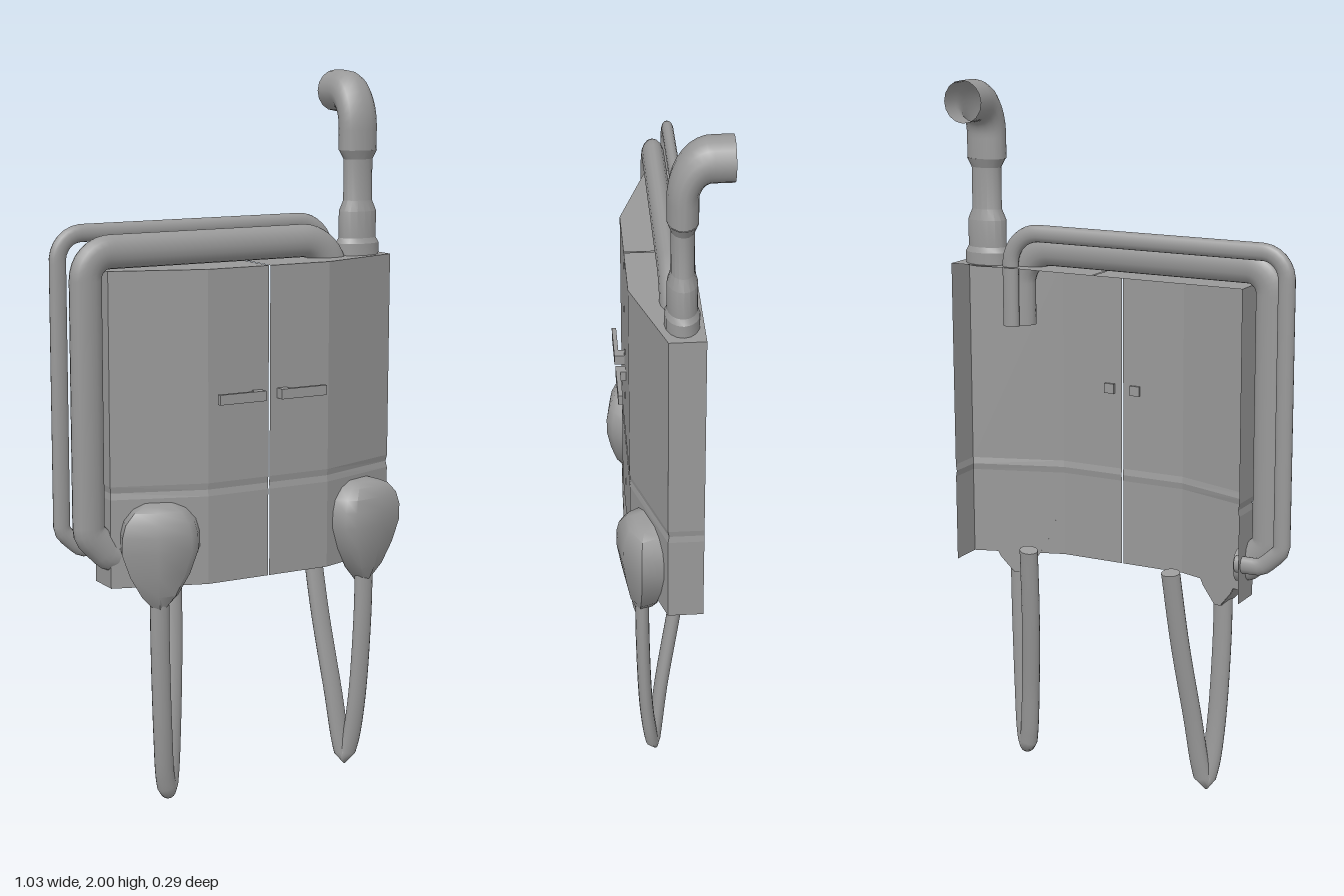
import * as THREE from 'three';
import { toCreasedNormals } from 'three/addons/utils/BufferGeometryUtils.js';

const MID = 0.065;  // x of the seam between the two doors
const FLAT = 0.68;  // pipes are flattened in depth
const smooth = new THREE.MeshStandardMaterial({ color: 0x999999, side: THREE.DoubleSide });
const faceted = new THREE.MeshStandardMaterial({ color: 0x999999, side: THREE.DoubleSide, flatShading: true });

function add(parent, name, geometry, material = smooth) {
  const mesh = new THREE.Mesh(geometry, material);
  mesh.name = name;
  parent.add(mesh);
  return mesh;
}

// Skin over rows of points, every row having the same count
function loft(rows) {
  const n = rows[0].length, index = [];
  for (let r = 0; r < rows.length - 1; r++) {
    for (let i = 0; i < n - 1; i++) {
      const a = r * n + i, b = a + 1, c = a + n, d = c + 1;
      index.push(a, b, c, b, d, c);
    }
  }
  const geometry = new THREE.BufferGeometry();
  geometry.setAttribute('position', new THREE.Float32BufferAttribute(rows.flat(2), 3));
  geometry.setIndex(index);
  geometry.computeVertexNormals();
  return geometry;
}

// Polyline with rounded corners
function roundedPath(points, radii) {
  const p = points.map(([x, y, z]) => new THREE.Vector3(x, y, z / FLAT));
  const path = new THREE.CurvePath();
  let from = p[0];
  for (let i = 1; i < p.length - 1; i++) {
    const step = (to) => p[i].clone().add(to.clone().sub(p[i]).setLength(radii[i - 1]));
    const start = step(p[i - 1]), end = step(p[i + 1]);
    path.add(new THREE.LineCurve3(from, start));
    path.add(new THREE.CubicBezierCurve3(start, start.clone().lerp(p[i], 0.55), end.clone().lerp(p[i], 0.55), end));
    from = end;
  }
  path.add(new THREE.LineCurve3(from, p[p.length - 1]));
  return path;
}

// Flattened tube with optional end caps
function pipe(parent, name, path, radius, segments, capped = true) {
  const group = new THREE.Group();
  group.name = name;
  group.scale.z = FLAT;
  add(group, name + 'Tube', new THREE.TubeGeometry(path, segments, radius, 16, false));
  if (capped) {
    for (const [t, sign] of [[0, -1], [1, 1]]) {
      const cap = add(group, name + 'Cap', new THREE.CircleGeometry(radius, 16));
      const at = path.getPointAt(t);
      cap.position.copy(at);
      cap.lookAt(at.clone().addScaledVector(path.getTangentAt(t), sign));
    }
  }
  parent.add(group);
}

// One half of the open-backed casing, side s = 1 or -1
function casingHalf(s) {
  const half = new THREE.Group();
  half.name = s > 0 ? 'leftCasing' : 'rightCasing';
  const section = [[0.002, 0.1], [0.19, 0.1], [0.445, 0.015], [0.445, -0.08]];
  // Rows of height and inset: a faint groove runs across the doors
  const rows = [[0.622, 0], [0.868, 0], [0.886, 0.003], [0.904, 0], [1.487, 0]];
  const skin = rows.map(([y, inset]) => section.map(([x, z], i) => [
    MID + s * (i > 1 ? x - inset : x), y, i < 3 ? z - inset : z]));
  if (s < 0) skin.forEach((row) => row.reverse());
  add(half, 'doorAndSide', loft(skin), faceted);

  const top = new THREE.Shape([...section, [0.002, -0.08]].map(([x, z]) => new THREE.Vector2(MID + s * x, -z)));
  const lid = add(half, 'topPlate', new THREE.ShapeGeometry(top).rotateX(-Math.PI / 2), faceted);
  lid.position.y = 1.487;

  // Handle: long bar on a short post that passes through the door
  const bar = add(half, 'handleBar', new THREE.BoxGeometry(0.143, 0.028, 0.012));
  bar.position.set(MID + s * 0.0965, 1.135, 0.121);
  const post = add(half, 'handlePost', new THREE.BoxGeometry(0.03, 0.028, 0.03));
  post.position.set(MID + s * 0.04, 1.135, 0.108);
  return half;
}

// Angular teardrop pod seated on the sloping panel, side s = 1 or -1
function pod(s) {
  const seat = new THREE.Group();
  seat.name = 'pod';
  const section = [[-0.115, 0], [-0.104, 0.04], [-0.083, 0.063], [0.012, 0.08], [0.108, 0.065], [0.104, 0]];
  // Height, width factor and depth factor of each ring
  const rings = [[0.56, 0.1, 0], [0.562, 0.12, 0.5], [0.605, 0.48, 0.72], [0.665, 0.79, 0.88], [0.73, 1, 1],
    [0.775, 0.99, 1], [0.81, 0.9, 0.92], [0.84, 0.66, 0.75], [0.852, 0.42, 0.5], [0.856, 0.34, 0]];
  const front = rings.map(([y, w, d]) => {
    const row = section.map(([x, z]) => [s * x * w, y, z * d]);
    return s < 0 ? row.reverse() : row;
  });
  const back = front.map((row) => [row[row.length - 1], row[0]].map(([x, y]) => [x, y, -0.002]));
  add(seat, 'podShell', toCreasedNormals(loft(front), 0.75));
  add(seat, 'podBack', loft(back));
  seat.position.set(MID + s * 0.322, 0, 0.056);
  seat.rotation.y = s * 0.32;
  return seat;
}

function podAndLeg(s) {
  const side = new THREE.Group();
  side.name = s > 0 ? 'leftLegUnit' : 'rightLegUnit';
  side.add(pod(s));

  // Leg loops from the pod to the floor and back up inside the casing
  const points = [[0.33, 0.62, 0.077], [0.328, 0.45, 0.076], [0.317, 0.2, 0.067], [0.304, 0.07, 0.054],
    [0.292, 0.03, 0.046], [0.282, 0.07, 0.039], [0.265, 0.22, 0.021], [0.241, 0.45, -0.015],
    [0.226, 0.67, -0.048]].map(([x, y, z]) => new THREE.Vector3(MID + s * x, y, z / FLAT));
  pipe(side, 'leg', new THREE.CatmullRomCurve3(points), 0.028, 80);
  return side;
}

export function createModel() {
  const model = new THREE.Group();
  model.name = 'casingWithPipes';

  for (const s of [1, -1]) model.add(casingHalf(s), podAndLeg(s));

  // Two pipes wrapping the side and top of the casing
  const z1 = -0.007, z2 = -0.052;
  pipe(model, 'thickPipe', roundedPath([[0.33, 1.32, z1], [0.33, 1.536, z1], [-0.435, 1.536, z1],
    [-0.435, 0.775, z1], [-0.37, 0.71, z1], [-0.345, 0.71, z1]], [0.1, 0.07, 0.015, 0.015]), 0.046, 120);
  pipe(model, 'thinPipe', roundedPath([[0.335, 1.32, z2], [0.335, 1.585, z2], [-0.494, 1.585, z2],
    [-0.494, 0.78, z2], [-0.435, 0.727, z2], [-0.36, 0.727, z2]], [0.09, 0.07, 0.015, 0.015]), 0.024, 120);

  // Exhaust stack: stepped lower part, then an open elbow facing back
  const profile = [[0.066, 1.482], [0.066, 1.52], [0.057, 1.535], [0.057, 1.61], [0.044, 1.64],
    [0.044, 1.755], [0.058, 1.78]].map(([x, y]) => new THREE.Vector2(x, y));
  const stack = add(model, 'exhaustStack', toCreasedNormals(new THREE.LatheGeometry(profile, 16), 0.5));
  stack.position.set(0.424, 0, -0.025);
  stack.scale.z = FLAT;
  pipe(model, 'exhaustElbow', roundedPath([[0.422, 1.78, -0.025], [0.422, 1.942, -0.025],
    [0.422, 1.942, -0.147]], [0.1]), 0.058, 16, false);

  return model;
}
